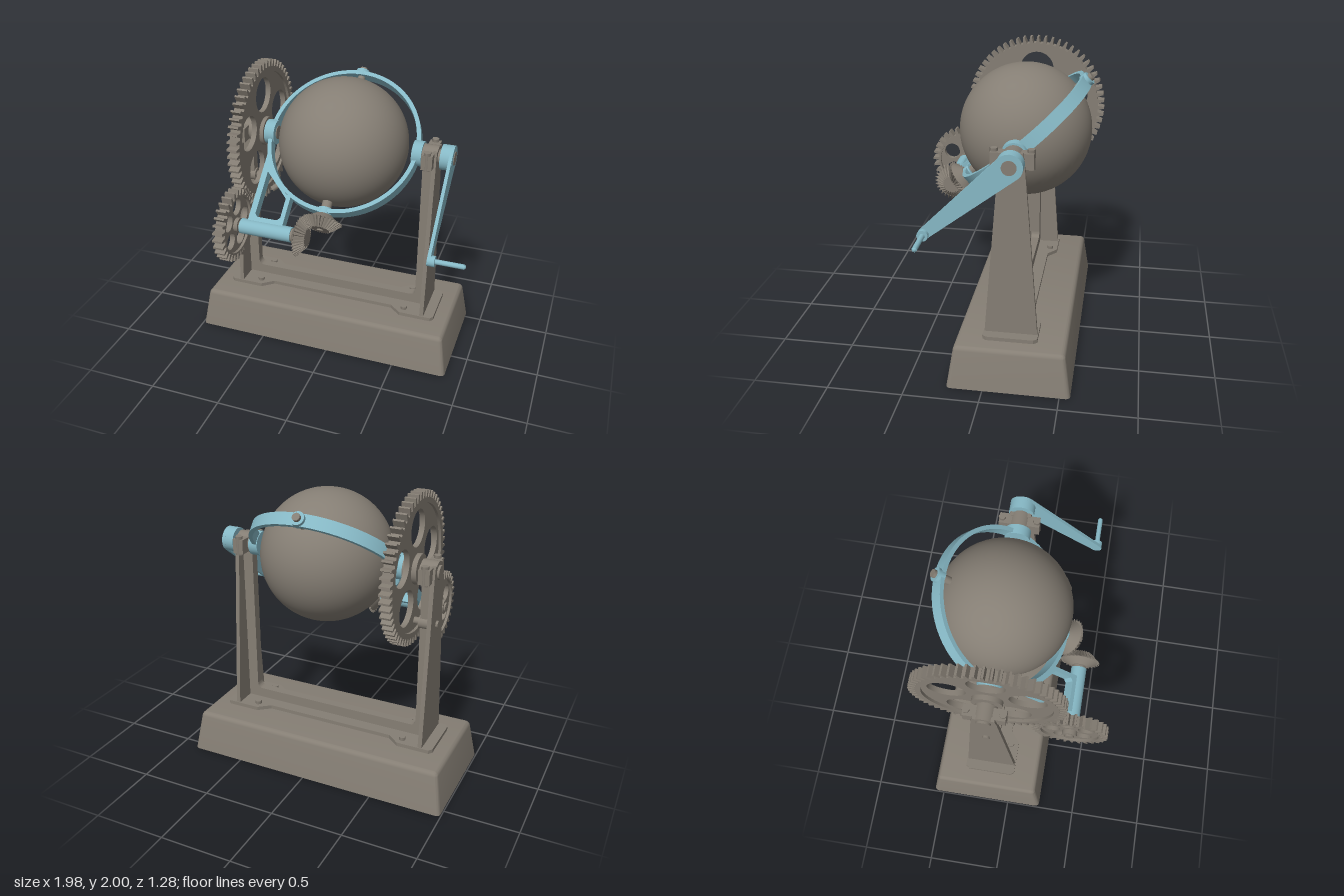
import * as THREE from 'three';
import { mergeVertices, toCreasedNormals } from 'three/addons/utils/BufferGeometryUtils.js';
import { RoundedBoxGeometry } from 'three/addons/geometries/RoundedBoxGeometry.js';

const iron = new THREE.MeshStandardMaterial({ color: 0x857e74 });
iron.name = 'warm grey iron';
const blue = new THREE.MeshStandardMaterial({ color: 0x86b8c5 });
blue.name = 'pale blue paint';

const CX = -0.055, AY = 1.505, AZ = -0.155; // stand centre x, main axle y and z
const TILT = 0.72, REACH = 0.71;            // tilt of the head, distance to the second shaft

function add(parent, name, geo, mat, x = 0, y = 0, z = 0) {
  const m = new THREE.Mesh(geo, mat);
  m.name = name;
  m.position.set(x, y, z);
  parent.add(m);
  return m;
}

// cylinder along x from x0 to x1
function rod(parent, name, mat, x0, x1, r, y = 0, z = 0, sides = 32, r2 = r) {
  const g = new THREE.CylinderGeometry(r2, r, x1 - x0, sides).rotateZ(-Math.PI / 2);
  return add(parent, name, g, mat, (x0 + x1) / 2, y, z);
}

// cylinder along z from z0 to z1
function pin(parent, name, mat, z0, z1, r, r2 = r, sides = 32) {
  const g = new THREE.CylinderGeometry(r2, r, z1 - z0, sides).rotateX(Math.PI / 2);
  return add(parent, name, g, mat, 0, 0, (z0 + z1) / 2);
}

// centred extrusion, with smooth normals on curves
function slab(shape, depth, segments = 32) {
  const g = new THREE.ExtrudeGeometry(shape, { depth, bevelEnabled: false, curveSegments: segments });
  return toCreasedNormals(g.translate(0, 0, -depth / 2), 0.45);
}
const alongX = g => g.rotateY(Math.PI / 2);  // extrusion axis to x
const alongY = g => g.rotateX(Math.PI / 2);  // shape lies in the x-z plane

function polygon(points) {
  return new THREE.Shape(points.map(p => new THREE.Vector2(p[0], p[1])));
}

function circleHole(shape, x, y, r) {
  shape.holes.push(new THREE.Path().absarc(x, y, r, 0, Math.PI * 2, true));
}

function toothed(count, root, tip, phase) {
  const pts = [], pitch = Math.PI * 2 / count;
  for (let i = 0; i < count; i++) {
    for (const [f, r] of [[-0.3, root], [-0.13, tip], [0.13, tip], [0.3, root]]) {
      const a = (i + f + phase) * pitch;
      pts.push([Math.cos(a) * r, Math.sin(a) * r]);
    }
  }
  return polygon(pts);
}

// spur gear with a wide toothed rim, thin pierced web and hub
function spurGear(name, o) {
  const g = new THREE.Group();
  g.name = name;
  const rim = toothed(o.teeth, o.root, o.tip, o.phase);
  circleHole(rim, 0, 0, o.inner);
  add(g, name + 'Rim', alongX(slab(rim, 0.072)), iron);
  const web = new THREE.Shape().absarc(0, 0, o.inner + 0.005, 0, Math.PI * 2);
  for (let i = 0; i < 5; i++) {
    const a = o.turn + (i + 0.5) * Math.PI * 0.4;
    circleHole(web, Math.cos(a) * o.holeAt, Math.sin(a) * o.holeAt, o.hole);
  }
  add(g, name + 'Web', alongX(slab(web, 0.036)), iron);
  rod(g, name + 'Hub', iron, -0.05, 0.045, o.hub);
  return g;
}

// 45 degree bevel teeth, large end at z = 0
function bevelTeeth(phase) {
  const g = new THREE.ExtrudeGeometry(toothed(30, 0.113, 0.136, phase), { depth: 1, bevelEnabled: false });
  const p = g.attributes.position;
  for (let i = 0; i < p.count; i++) {
    const z = p.getZ(i), s = 1 - 0.48 * z;
    p.setXYZ(i, p.getX(i) * s, p.getY(i) * s, z * 0.06);
  }
  g.computeVertexNormals();
  return g;
}

function buildBase(root) {
  // tapered block with rounded top edges
  let g = new RoundedBoxGeometry(1.875, 0.32, 0.81, 4, 0.03).translate(0, 0.13, 0);
  const p = g.attributes.position;
  for (let i = 0; i < p.count; i++) {
    const y = Math.max(0, p.getY(i)), k = y / 0.29;
    p.setXYZ(i, p.getX(i) * (1 - 0.05 * k), y, p.getZ(i) * (1 - 0.11 * k));
  }
  g.deleteAttribute('normal');
  g.deleteAttribute('uv');
  add(root, 'base', toCreasedNormals(mergeVertices(g), 0.6), iron, CX, 0, -0.165);

  // foot plate, wide at both ends
  const half = [[-0.785, -0.155], [-0.765, -0.18], [-0.54, -0.18], [-0.46, -0.115],
    [0.46, -0.115], [0.54, -0.18], [0.765, -0.18], [0.785, -0.155]];
  const plate = polygon([...half, ...half.map(q => [-q[0], -q[1]])]);
  add(root, 'footPlate', alongY(slab(plate, 0.03)), iron, CX, 0.301, AZ);
  for (const x of [-0.56, 0.56]) for (const z of [-0.125, 0.125]) {
    add(root, 'footBolt', new THREE.CylinderGeometry(0.023, 0.023, 0.025, 6), iron, CX + x, 0.325, AZ + z);
  }
}

function buildStand(root) {
  // U-shaped centre web
  const u = new THREE.Shape();
  u.moveTo(-0.705, 0.3).lineTo(0.705, 0.3).lineTo(0.705, 1.5).lineTo(0.615, 1.5).lineTo(0.615, 0.43);
  u.quadraticCurveTo(0.615, 0.385, 0.57, 0.385).lineTo(-0.57, 0.385);
  u.quadraticCurveTo(-0.615, 0.385, -0.615, 0.43).lineTo(-0.615, 1.5).lineTo(-0.705, 1.5);
  add(root, 'standWeb', slab(u, 0.06), iron, CX, 0, AZ);

  const flange = polygon([[-0.175, 0.3], [0.175, 0.3], [0.08, 1.5], [0.07, 1.56], [-0.07, 1.56], [-0.08, 1.5]]);
  for (const s of [-1, 1]) {
    add(root, 'postFlange', alongX(slab(flange, 0.028)), iron, CX + s * 0.701, 0, AZ);
    const x = CX + s * 0.662;
    rod(root, 'bearing', iron, x - 0.053, x + 0.053, 0.072, AY, AZ);
    add(root, 'bearingCap', new THREE.BoxGeometry(0.075, 0.1, 0.27), iron, x, AY, AZ);
    for (const z of [-0.115, 0.115]) {
      add(root, 'capBolt', new THREE.CylinderGeometry(0.025, 0.025, 0.13, 6), iron, x, AY + 0.005, AZ + z);
    }
  }
  rod(root, 'axleLeftEnd', iron, 0.54, 0.768, 0.047, AY, AZ);
  rod(root, 'axleRightEnd', iron, -0.785, -0.48, 0.047, AY, AZ);

  // pin that holds the large gear still
  rod(root, 'lockBoss', iron, -0.745, -0.66, 0.045, 1.15, AZ);
  rod(root, 'lockPin', iron, -0.785, -0.59, 0.024, 1.15, AZ, 12);
}

function buildHead(root) {
  const head = new THREE.Group();
  head.name = 'tiltedHead';
  head.position.set(0, AY, AZ);
  head.rotation.x = TILT;
  root.add(head);

  add(head, 'ball', new THREE.SphereGeometry(0.442, 64, 40).rotateX(Math.PI / 2), iron);

  // ring around the ball with its axle hubs
  const ring = new THREE.Shape().absarc(0, 0, 0.53, 0, Math.PI * 2);
  circleHole(ring, 0, 0, 0.502);
  add(head, 'ring', alongY(slab(ring, 0.085, 64)), blue);
  rod(head, 'ringHubLeft', blue, 0.49, 0.557, 0.085);
  rod(head, 'ringHubRight', blue, -0.557, -0.485, 0.085);
  pin(head, 'backBoss', blue, -0.55, -0.5, 0.046);
  pin(head, 'backPivot', iron, -0.57, -0.42, 0.026);
  pin(head, 'frontBoss', blue, 0.49, 0.54, 0.05);
  pin(head, 'frontPivot', iron, 0.42, 0.6, 0.034);

  // bracket carrying the second shaft
  const arm = polygon([[-0.5, 0.12], [-0.5, REACH], [-0.25, REACH], [-0.25, 0.45]]);
  arm.absarc(0, 0, 0.515, 2.078, 2.906, false);
  arm.holes.push(new THREE.Path([[-0.46, 0.31], [-0.28, 0.48], [-0.28, 0.62], [-0.3, 0.64],
    [-0.44, 0.64], [-0.46, 0.62]].map(q => new THREE.Vector2(q[0], q[1]))));
  add(head, 'bracket', alongY(slab(arm, 0.07)), blue);
  rod(head, 'shaftTube', blue, -0.545, -0.18, 0.052, 0, REACH);
  rod(head, 'shaftCollar', iron, -0.185, -0.13, 0.045, 0, REACH);
  rod(head, 'secondShaft', iron, -0.665, -0.1, 0.032, 0, REACH);
  const screw = rod(head, 'bracketScrew', iron, -0.04, 0.04, 0.022, 0, 0, 6);
  screw.position.set(-0.38, 0, 0.39);
  screw.rotation.y = 0.8;

  // spur gears
  const large = spurGear('largeGear', { teeth: 60, root: 0.45, tip: 0.496, inner: 0.415, phase: 0,
    hole: 0.12, holeAt: 0.265, hub: 0.1, turn: -Math.PI / 2 - TILT });
  large.position.x = -0.603;
  const small = spurGear('smallGear', { teeth: 30, root: 0.208, tip: 0.254, inner: 0.195, phase: 0.5,
    hole: 0.058, holeAt: 0.125, hub: 0.05, turn: 0 });
  small.position.set(-0.603, 0, REACH);
  head.add(large, small);

  // bevel pair between second shaft and ball
  add(head, 'ballBevel', bevelTeeth(0), iron, 0, 0, 0.58);
  pin(head, 'ballBevelBack', iron, 0.535, 0.581, 0.055, 0.118);
  pin(head, 'ballBevelNut', iron, 0.63, 0.65, 0.022);
  add(head, 'shaftBevel', alongX(bevelTeeth(0.5)), iron, -0.13, 0, REACH);
  rod(head, 'shaftBevelBack', iron, -0.165, -0.129, 0.055, 0, REACH, 32, 0.118);

  // crank
  const a = Math.acos((0.085 - 0.036) / REACH);
  const crank = new THREE.Shape();
  crank.absarc(0, 0, 0.085, a - Math.PI, Math.PI - a, false);
  crank.absarc(-REACH, 0, 0.036, Math.PI - a, Math.PI + a, false);
  add(head, 'crankArm', alongX(slab(crank, 0.022)), blue, 0.752);
  rod(head, 'crankHub', blue, 0.68, 0.764, 0.085);
  rod(head, 'crankBoss', blue, 0.742, 0.79, 0.036, 0, REACH);
  rod(head, 'crankHandle', blue, 0.785, 0.975, 0.017, 0, REACH, 20);
  add(head, 'handleTip', new THREE.SphereGeometry(0.017, 20, 10), blue, 0.97, 0, REACH);
}

export function createModel() {
  const root = new THREE.Group();
  root.name = 'crankedGearStand';
  buildBase(root);
  buildStand(root);
  buildHead(root);
  return root;
}
